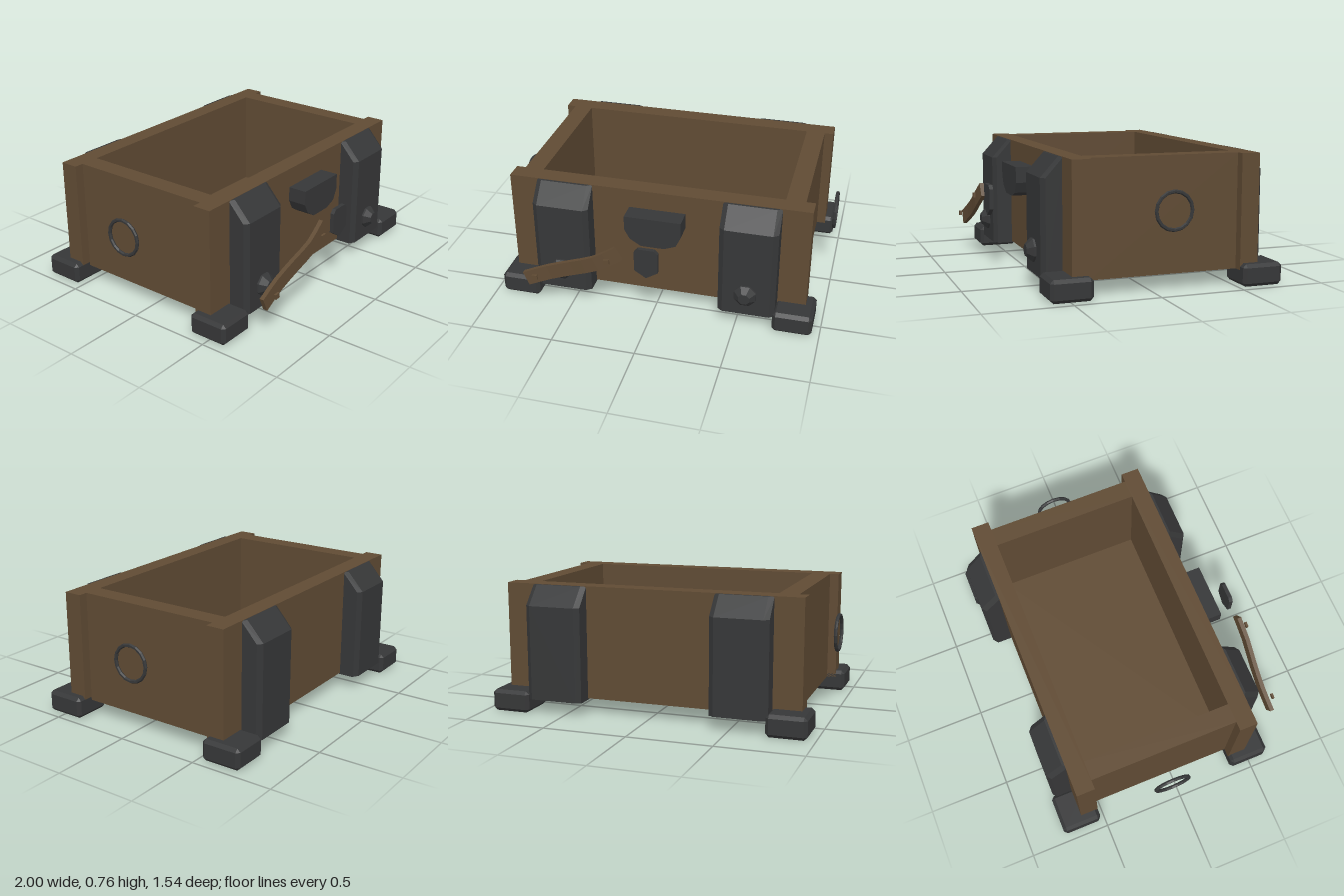
import * as THREE from 'three';
import { ConvexGeometry } from 'three/addons/geometries/ConvexGeometry.js';

const wood = new THREE.MeshStandardMaterial({ color: 0x604b34 });
wood.name = 'brown wood';
const iron = new THREE.MeshStandardMaterial({ color: 0x363738 });
iron.name = 'dark iron';

// Faceted normals for any geometry
function flat(geometry) {
  const g = geometry.index ? geometry.toNonIndexed() : geometry;
  g.computeVertexNormals();
  return g;
}

function add(parent, name, geometry, material, x = 0, y = 0, z = 0) {
  const mesh = new THREE.Mesh(geometry, material);
  mesh.name = name;
  mesh.position.set(x, y, z);
  parent.add(mesh);
  return mesh;
}

const box = (w, h, d) => new THREE.BoxGeometry(w, h, d);

// Block with all edges chamfered by b
function chamferBox(w, h, d, b) {
  const pts = [];
  for (const sx of [-1, 1]) for (const sy of [-1, 1]) for (const sz of [-1, 1]) {
    const x = w / 2, y = h / 2, z = d / 2;
    pts.push(new THREE.Vector3(sx * x, sy * (y - b), sz * (z - b)));
    pts.push(new THREE.Vector3(sx * (x - b), sy * y, sz * (z - b)));
    pts.push(new THREE.Vector3(sx * (x - b), sy * (y - b), sz * z));
  }
  return new ConvexGeometry(pts);
}

// Upright iron band with bevelled sides and a sloped top
function strapGeometry() {
  const pts = [];
  for (const [y, z] of [[0.085, 0.675], [0.645, 0.675], [0.758, 0.572]]) {
    for (const s of [-1, 1]) {
      pts.push(new THREE.Vector3(s * 0.17, y, 0.55));
      pts.push(new THREE.Vector3(s * 0.17, y, Math.max(z - 0.023, 0.551)));
      pts.push(new THREE.Vector3(s * 0.14, y, z));
    }
  }
  return new ConvexGeometry(pts);
}

function plate(points, depth) {
  const shape = new THREE.Shape(points.map(([x, y]) => new THREE.Vector2(x, y)));
  return new THREE.ExtrudeGeometry(shape, { depth, bevelEnabled: false });
}

// Slightly warped loose board following a curve
function boardGeometry() {
  const curve = new THREE.CatmullRomCurve3([
    [-0.743, 0.21, 0.722], [-0.6, 0.272, 0.715], [-0.45, 0.33, 0.72],
    [-0.3, 0.392, 0.73], [-0.167, 0.473, 0.721],
  ].map((p) => new THREE.Vector3(...p)));
  const g = box(1, 0.09, 0.026).toNonIndexed();
  const base = new THREE.BoxGeometry(1, 0.09, 0.026, 8, 1, 1);
  g.dispose();
  const pos = base.attributes.position;
  for (let i = 0; i < pos.count; i++) {
    const t = pos.getX(i) + 0.5;
    const p = curve.getPointAt(t);
    const d = curve.getTangentAt(t);
    const n = new THREE.Vector2(-d.y, d.x).normalize().multiplyScalar(pos.getY(i));
    pos.setXYZ(i, p.x + n.x, p.y + n.y, p.z + pos.getZ(i));
  }
  return flat(base);
}

export function createModel() {
  const model = new THREE.Group();
  model.name = 'openChest';

  // Chest body, centred slightly behind the origin
  const chest = new THREE.Group();
  chest.name = 'chest';
  chest.position.z = -0.0775;
  model.add(chest);
  add(chest, 'floor', box(1.46, 0.06, 0.9), wood, 0, 0.12, 0);
  for (const s of [-1, 1]) {
    add(chest, s > 0 ? 'frontWall' : 'backWall', box(1.8, 0.67, 0.11), wood, 0, 0.425, s * 0.5025);
    add(chest, s > 0 ? 'leftWall' : 'rightWall', box(0.115, 0.67, 0.895), wood, s * 0.7875, 0.425, 0);
  }

  // Iron straps and feet
  const strap = strapGeometry();
  const foot = chamferBox(0.235, 0.13, 0.245, 0.02);
  for (const x of [-1, 1]) {
    add(chest, 'strapUnderside', box(0.34, 0.01, 1.3), iron, x * 0.56, 0.086, 0);
    for (const z of [-1, 1]) {
      add(chest, z > 0 ? 'frontStrap' : 'backStrap', strap, iron, x * 0.56).rotation.y = z > 0 ? 0 : Math.PI;
      add(chest, 'foot', foot, iron, x * 0.8375, 0.065, z * 0.57);
    }
  }

  // Domed studs on the front straps
  const knob = [[0.07, 0], [0.07, 0.012], [0.035, 0.048], [0, 0.048]];
  const stud = flat(new THREE.LatheGeometry(knob.map(([r, h]) => new THREE.Vector2(r, h)), 8, Math.PI / 8));
  for (const x of [-0.57, 0.556]) {
    add(model, 'stud', stud, iron, x, 0.222, 0.597).rotation.x = Math.PI / 2;
  }

  // Lock housing and hanging hasp
  add(model, 'lockHousing', plate([
    [-0.167, 0.645], [-0.167, 0.56], [-0.135, 0.5], [-0.07, 0.46],
    [0.07, 0.46], [0.14, 0.487], [0.17, 0.55], [0.17, 0.645],
  ], 0.115), iron, 0, 0, 0.478);
  add(model, 'hasp', plate([
    [-0.07, 0.505], [-0.07, 0.383], [0, 0.338], [0.07, 0.383],
    [0.07, 0.505], [0.048, 0.528], [-0.048, 0.528],
  ], 0.024), iron, 0, 0, 0.708);

  // Loose board with two nail heads
  add(model, 'looseBoard', boardGeometry(), wood);
  for (const [x, y] of [[-0.675, 0.25], [-0.225, 0.432]]) {
    add(model, 'nailHead', box(0.033, 0.03, 0.013), wood, x, y, 0.763).rotation.z = 0.12;
  }

  // Ring handles on both sides
  const ring = flat(new THREE.TorusGeometry(0.106, 0.011, 6, 16));
  for (const s of [-1, 1]) {
    add(model, s > 0 ? 'leftRing' : 'rightRing', ring, iron, s * 0.988, 0.472, -0.074).rotation.y = Math.PI / 2;
  }
  return model;
}
